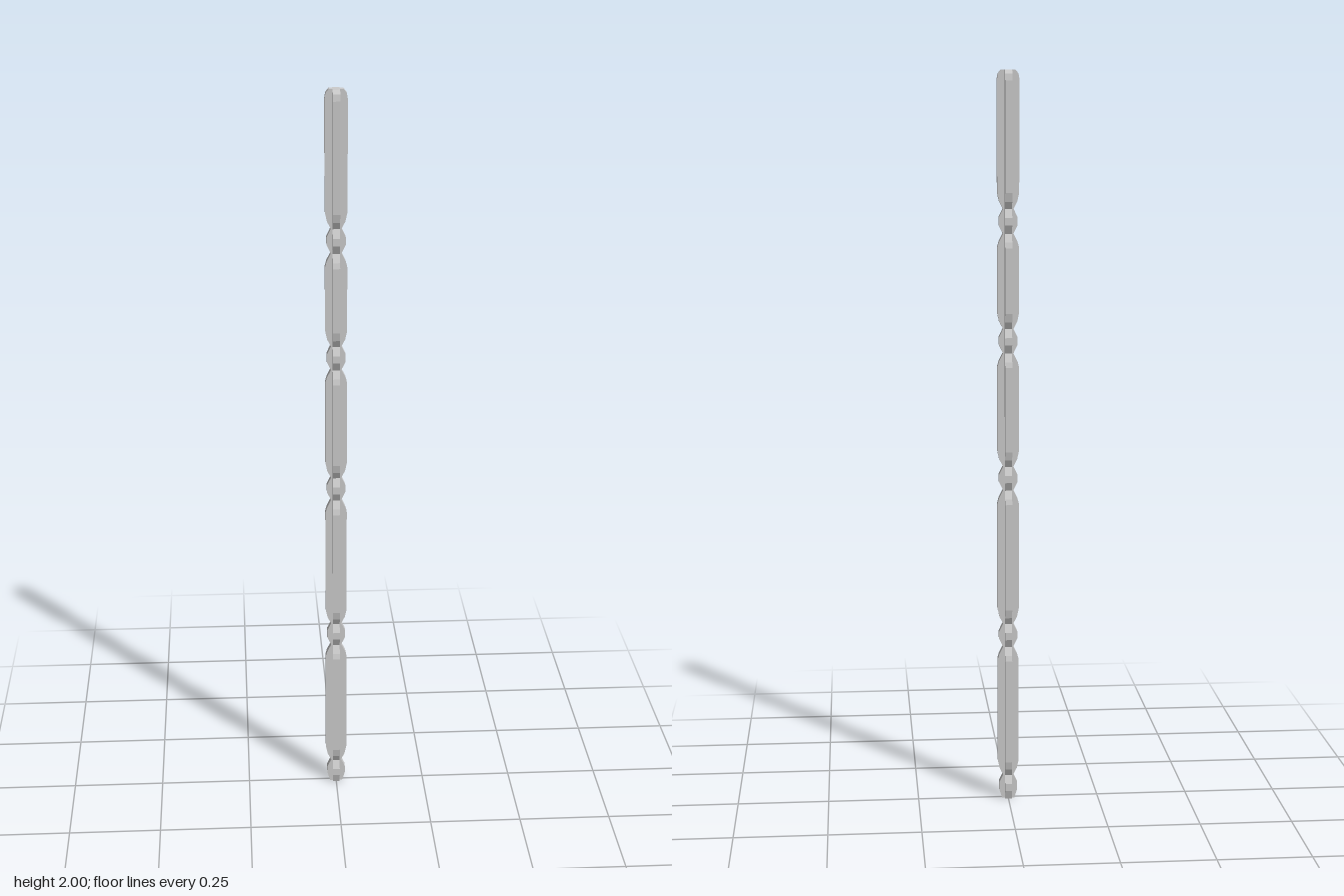
import * as THREE from 'three';

const material = new THREE.MeshStandardMaterial({ color: 0xcccccc, flatShading: true });

// Plus-shaped cross-section at height y, with arms reaching out to r
function crossRing(y, r) {
  const w = Math.min(0.0095, r * 0.7);
  const ring = [];
  for (let q = 0; q < 4; q++) {
    for (let [x, z] of [[r, -w], [r, w], [w, w]]) {
      for (let i = 0; i < q; i++) [x, z] = [-z, x];
      ring.push([x, y, z]);
    }
  }
  return ring;
}

// Skin between consecutive cross-sections given as [y, reach], bottom to top
function loft(name, profile, capBottom = false, capTop = false) {
  const rings = profile.map(([y, r]) => crossRing(y, r));
  const pos = [];
  const tri = (a, b, c) => pos.push(...a, ...b, ...c);
  for (let j = 0; j < 12; j++) {
    const k = (j + 1) % 12;
    for (let i = 0; i < rings.length - 1; i++) {
      const a = rings[i], b = rings[i + 1];
      tri(a[j], b[j], b[k]);
      tri(a[j], b[k], a[k]);
    }
    const low = rings[0], high = rings[rings.length - 1];
    if (capBottom) tri([0, low[0][1], 0], low[j], low[k]);
    if (capTop) tri([0, high[0][1], 0], high[k], high[j]);
  }
  const geometry = new THREE.BufferGeometry();
  geometry.setAttribute('position', new THREE.Float32BufferAttribute(pos, 3));
  geometry.computeVertexNormals();
  const mesh = new THREE.Mesh(geometry, material);
  mesh.name = name;
  return mesh;
}

export function createModel() {
  const group = new THREE.Group();
  group.name = 'jointedRod';

  const knots = [0.035, 0.47, 0.91, 1.285, 1.605]; // knot centres
  const neck = 0.033, neckReach = 0.014;

  knots.forEach((y, i) => {
    const first = i === 0, last = i === knots.length - 1;

    // Small bulging knot between two narrow necks; the lowest one is the foot
    group.add(loft('knot' + (i + 1), [
      [first ? 0 : y - neck, first ? 0.017 : neckReach],
      [y - 0.01, 0.025],
      [y + 0.01, 0.025],
      [y + neck, neckReach],
    ], first));

    // Long ribbed section above the knot, tapered at both ends
    const end = last
      ? [[1.972, 0.03], [1.99, 0.027], [2, 0.019]]
      : [[knots[i + 1] - 0.07, 0.029], [knots[i + 1] - 0.055, 0.025], [knots[i + 1] - neck, neckReach]];
    group.add(loft('ribbedSection' + (i + 1), [
      [y + neck, neckReach],
      [y + 0.052, 0.024],
      [y + 0.075, 0.029],
      ...end,
    ], false, last));
  });

  return group;
}
